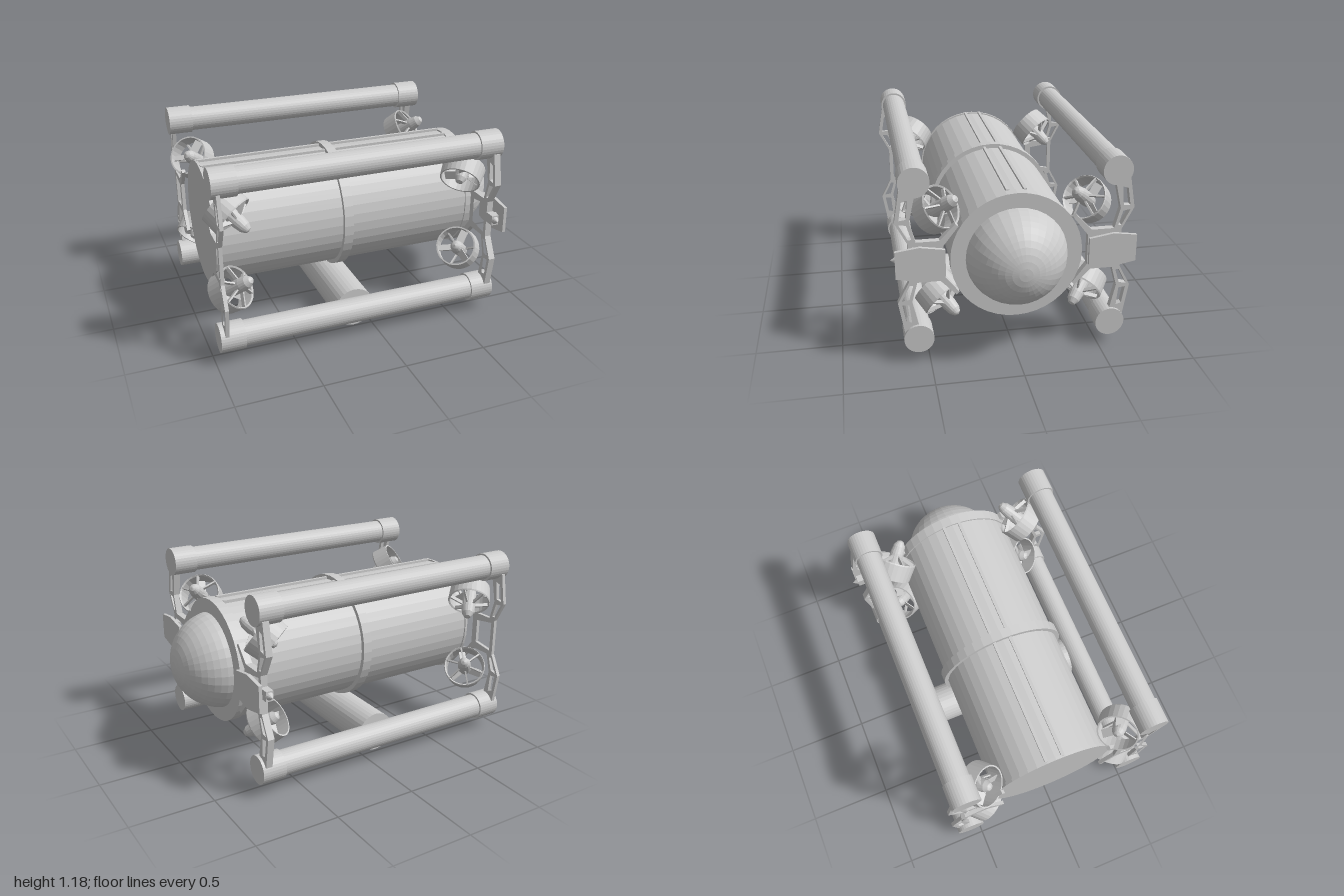
import * as THREE from 'three';

const MID = 0.627; // height of the hull axis
const mat = new THREE.MeshStandardMaterial({ color: 0xcccccc, flatShading: true });

function add(parent, name, geometry, x = 0, y = 0, z = 0) {
  const mesh = new THREE.Mesh(geometry, mat);
  mesh.name = name;
  mesh.position.set(x, y, z);
  parent.add(mesh);
  return mesh;
}

// Cylinder running along x from x0 to x1
function tubeX(parent, name, r, x0, x1, y, z, sides = 32) {
  const g = new THREE.CylinderGeometry(r, r, x1 - x0, sides).rotateZ(-Math.PI / 2);
  return add(parent, name, g, (x0 + x1) / 2, y, z);
}

// Extrude a z-y outline along x, from x0 to x0 + thickness
function plateX(points, holes, thickness) {
  const vec = (list) => list.map(([z, y]) => new THREE.Vector2(z, y));
  const shape = new THREE.Shape(vec(points));
  for (const h of holes) shape.holes.push(new THREE.Path(vec(h)));
  const g = new THREE.ExtrudeGeometry(shape, { depth: thickness, bevelEnabled: false });
  return g.rotateY(-Math.PI / 2).translate(thickness, 0, 0);
}

// Lattice bracket between an upper and a lower rail; y is relative to the hull axis
function bracketGeometry(sz, thickness) {
  const upper = [
    [0.41, 0.09], [0.325, 0.2], [0.342, 0.215], [0.43, 0.122], [0.56, 0.122],
    [0.592, 0.24], [0.55, 0.43], [0.64, 0.43], [0.672, 0.243], [0.605, 0.115],
  ];
  const flip = (list) => list.map(([z, y]) => [z, -y]);
  const side = (list) => list.map(([z, y]) => [z * sz, y]);
  const outline = [...upper, ...flip(upper).reverse()];
  const longHole = [[0.608, 0.26], [0.648, 0.255], [0.63, 0.36], [0.598, 0.37]];
  const shortHole = [[0.65, 0.232], [0.608, 0.225], [0.583, 0.14], [0.602, 0.138]];
  const centreHole = [[0.58, 0.095], [0.58, -0.095], [0.45, -0.075], [0.45, 0.075]];
  const holes = [longHole, shortHole, flip(longHole), flip(shortHole), centreHole];
  return plateX(side(outline), holes.map(side), thickness);
}

// Ducted thruster, built along y with the long end of the pod at +y
function thruster() {
  const group = new THREE.Group();
  group.name = 'thruster';
  const V = (r, y) => new THREE.Vector2(r, y);
  add(group, 'duct', new THREE.LatheGeometry(
    [V(0.115, -0.055), V(0.124, -0.055), V(0.132, 0.05), V(0.128, 0.058), V(0.12, 0.05), V(0.115, -0.055)], 28));
  add(group, 'pod', new THREE.LatheGeometry(
    [V(0, -0.075), V(0.022, -0.066), V(0.036, -0.04), V(0.042, 0), V(0.042, 0.1),
      V(0.036, 0.145), V(0.02, 0.172), V(0, 0.18)], 16));
  for (let i = 0; i < 6; i++) {
    const arm = new THREE.Group();
    arm.name = 'strutArm';
    arm.rotation.y = (i * Math.PI) / 3;
    // Strut from the duct mouth up to the pod
    const strut = add(arm, 'strut', new THREE.BoxGeometry(0.1, 0.022, 0.01), 0.08, 0.06, 0);
    strut.rotation.z = -0.35;
    if (i % 2 === 0) {
      const blade = add(arm, 'propellerBlade', new THREE.BoxGeometry(0.075, 0.006, 0.05), 0.073, -0.015, 0);
      blade.rotation.x = 0.6;
    }
    group.add(arm);
  }
  return group;
}

export function createModel() {
  const model = new THREE.Group();
  model.name = 'underwaterVehicle';

  // Pressure hull with end flanges, middle band and glass dome
  tubeX(model, 'hull', 0.366, -0.905, 0.70, MID, 0, 40);
  tubeX(model, 'rearFlange', 0.375, -0.912, -0.895, MID, 0, 40);
  tubeX(model, 'frontFlange', 0.375, 0.69, 0.752, MID, 0, 40);
  tubeX(model, 'middleBand', 0.392, -0.133, -0.075, MID, 0, 40);
  const dome = new THREE.SphereGeometry(0.293, 32, 12, 0, Math.PI * 2, 0, Math.PI / 2);
  add(model, 'dome', dome.rotateZ(-Math.PI / 2), 0.707, MID, 0);

  // Paired runners along the top and bottom of the hull
  for (const sy of [1, -1]) {
    for (const z of [-0.056, 0.044]) {
      add(model, 'hullRunner', new THREE.BoxGeometry(1.595, 0.03, 0.018), -0.105, MID + sy * 0.362, z);
    }
  }

  // Cross tube under the hull
  const cross = new THREE.CylinderGeometry(0.123, 0.123, 0.97, 32).rotateX(Math.PI / 2);
  add(model, 'crossTube', cross, -0.11, 0.125, 0.003);

  for (const sz of [1, -1]) {
    // Frame rails with thicker end caps
    for (const sy of [1, -1]) {
      const y = MID + sy * 0.472;
      const z = sz * 0.561;
      tubeX(model, 'rail', 0.075, -0.96, 0.75, y, z);
      tubeX(model, 'rearRailCap', 0.086, -0.972, -0.828, y, z);
      tubeX(model, 'frontRailCap', 0.086, 0.615, 0.76, y, z);

      // Vectored thrusters, every long pod end leaning towards +x
      for (const sx of [1, -1]) {
        const t = thruster();
        t.position.set(sx > 0 ? 0.615 : -0.858, MID + sy * 0.253, sz * 0.435);
        const aim = new THREE.Vector3(1, sx * sy, -sx * sz).normalize();
        t.quaternion.setFromUnitVectors(new THREE.Vector3(0, 1, 0), aim);
        model.add(t);
      }
    }

    // Lattice brackets at both ends
    add(model, 'rearBracket', bracketGeometry(sz, 0.022), -0.947, MID, 0);
    add(model, 'frontBracket', bracketGeometry(sz, 0.04), 0.703, MID, 0);

    // Side fin plate on a short post, with a pointed stud outside
    const fin = [[0.405, -0.075], [0.405, 0.085], [0.545, 0.108], [0.68, 0.09], [0.68, -0.07], [0.545, -0.097]]
      .map(([z, y]) => [z * sz, y]);
    add(model, 'finPlate', plateX(fin, [], 0.02), 0.775, MID + 0.005, 0);
    tubeX(model, 'finPost', 0.014, 0.73, 0.785, MID + 0.018, sz * 0.595, 12);
    add(model, 'studBase', new THREE.BoxGeometry(0.045, 0.06, 0.07), 0.725, MID + 0.018, sz * 0.635);
    const stud = new THREE.ConeGeometry(0.025, 0.035, 12).rotateX((sz * Math.PI) / 2);
    add(model, 'stud', stud, 0.725, MID + 0.018, sz * 0.685);
  }
  return model;
}
